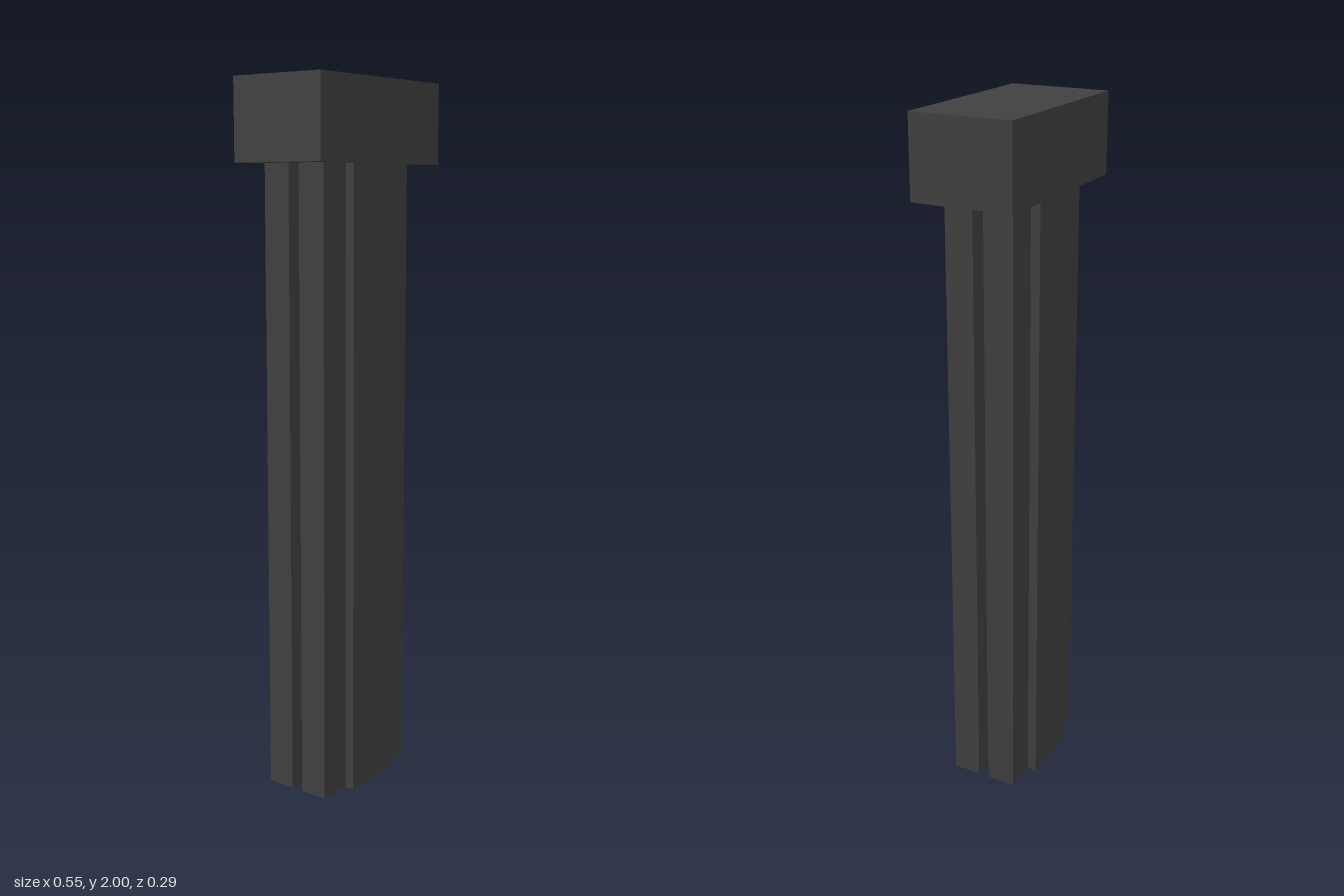
import * as THREE from 'three';

// Open-ended tube: one flat wall per edge of a counter-clockwise (x, z-forward) outline
function openTube(outline, y0, y1) {
  const pos = [];
  outline.forEach(([ax, az], i) => {
    const [bx, bz] = outline[(i + 1) % outline.length];
    pos.push(ax, y0, az, bx, y0, bz, bx, y1, bz);
    pos.push(ax, y0, az, bx, y1, bz, ax, y1, az);
  });
  const geo = new THREE.BufferGeometry();
  geo.setAttribute('position', new THREE.Float32BufferAttribute(pos, 3));
  geo.computeVertexNormals();
  return geo;
}

export function createModel() {
  const group = new THREE.Group();
  const capHeight = 0.225, shaftTop = 2 - capHeight;

  // Cap block
  const cap = new THREE.Mesh(
    new THREE.BoxGeometry(0.545, capHeight, 0.292),
    new THREE.MeshStandardMaterial({ color: 0x404040 })
  );
  cap.name = 'cap';
  cap.position.y = 2 - capHeight / 2;
  group.add(cap);

  // Hollow shaft: raised front and back panels, a groove down each side
  const quarter = [
    [0.137, 0.0175], [0.1925, 0.0175], [0.1925, 0.1], [0.095, 0.1], [0.095, 0.1275],
  ];
  const mirror = (sx, sz) => quarter.map(([x, z]) => [sx * x, sz * z]);
  const outline = [
    ...mirror(1, -1), ...mirror(-1, -1).reverse(),
    ...mirror(-1, 1), ...mirror(1, 1).reverse(),
  ].reverse();
  const shaft = new THREE.Mesh(
    openTube(outline, 0, shaftTop),
    new THREE.MeshStandardMaterial({ color: 0x404040, side: THREE.DoubleSide })
  );
  shaft.name = 'shaft';
  shaft.position.set(-0.012, 0, 0.002);
  group.add(shaft);

  return group;
}
